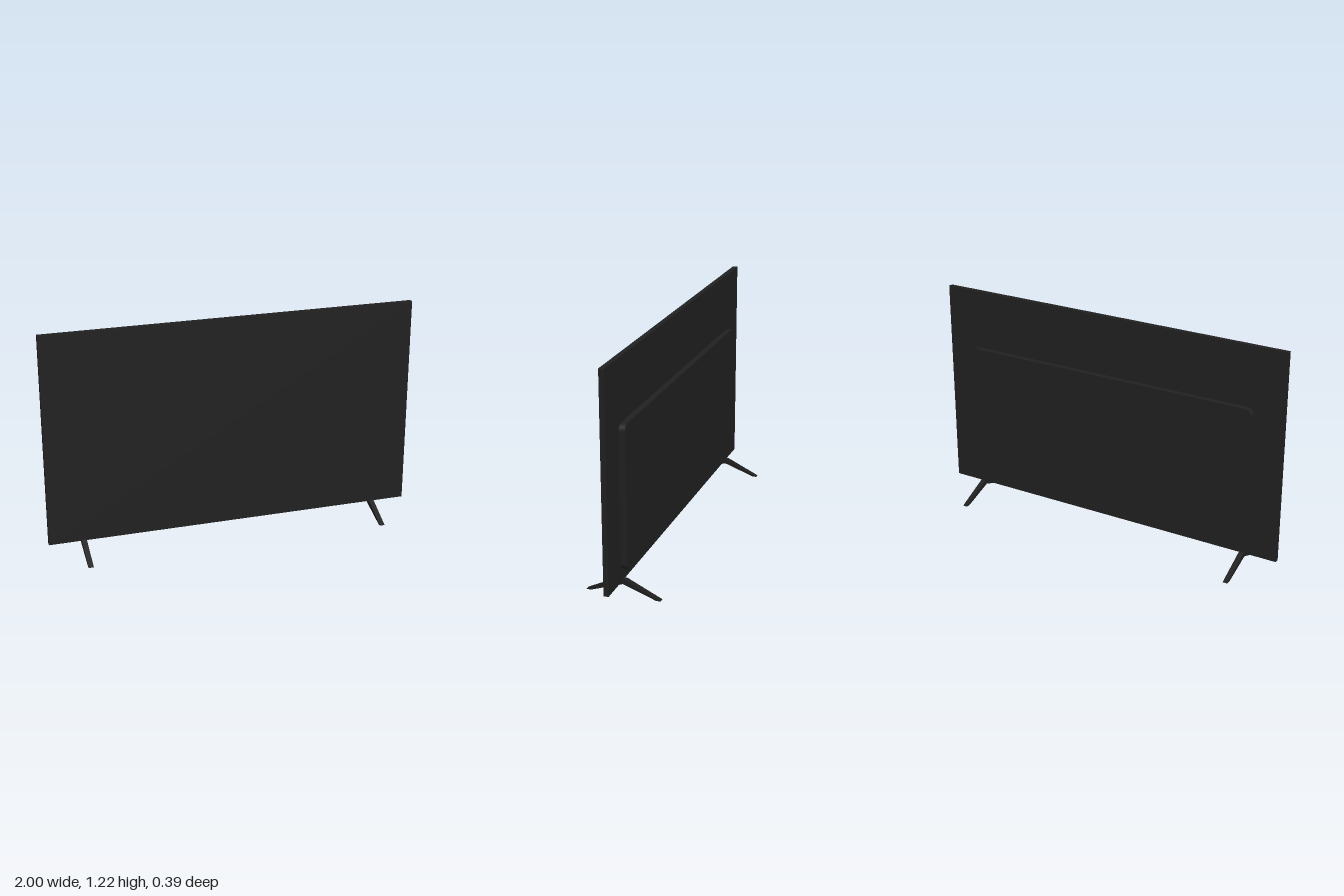
import * as THREE from 'three';

const bodyBlack = new THREE.MeshStandardMaterial({ name: 'bodyBlack', color: 0x212121 });
const legBlack = new THREE.MeshStandardMaterial({ name: 'legBlack', color: 0x1e1e1e });

function roundedRect(w, h, r) {
  const s = new THREE.Shape();
  const x = w / 2, y = h / 2;
  s.absarc(x - r, y - r, r, 0, Math.PI / 2);
  s.absarc(-x + r, y - r, r, Math.PI / 2, Math.PI);
  s.absarc(-x + r, -y + r, r, Math.PI, Math.PI * 1.5);
  s.absarc(x - r, -y + r, r, Math.PI * 1.5, Math.PI * 2);
  s.closePath();
  return s;
}

function addMesh(parent, name, geometry, material, x, y, z) {
  const mesh = new THREE.Mesh(geometry, material);
  mesh.name = name;
  mesh.position.set(x, y, z);
  parent.add(mesh);
  return mesh;
}

export function createModel() {
  const group = new THREE.Group();
  group.name = 'television';

  // Thin display panel
  addMesh(group, 'displayPanel', new THREE.BoxGeometry(2, 1.14, 0.026), bodyBlack, 0, 0.647, 0.017);

  // Rounded housing on the back
  const housing = new THREE.ExtrudeGeometry(roundedRect(1.678, 0.755, 0.035), {
    depth: 0.031, bevelEnabled: false, curveSegments: 8,
  });
  addMesh(group, 'rearHousing', housing, bodyBlack, 0, 0.5175, -0.027);

  // Splayed legs: a shallow inverted V extruded across x
  const profile = new THREE.Shape([
    [0.195, 0], [0.022, 0.085], [-0.014, 0.085], [-0.195, 0],
    [-0.172, 0], [0, 0.061], [0.172, 0],
  ].map(([z, y]) => new THREE.Vector2(-z, y)));
  const legGeometry = new THREE.ExtrudeGeometry(profile, { depth: 0.027, bevelEnabled: false });
  legGeometry.translate(0, 0, -0.0135).rotateY(Math.PI / 2);
  for (const side of [-1, 1]) {
    addMesh(group, side > 0 ? 'leftLeg' : 'rightLeg', legGeometry, legBlack, side * 0.814, 0, 0);
  }
  return group;
}
